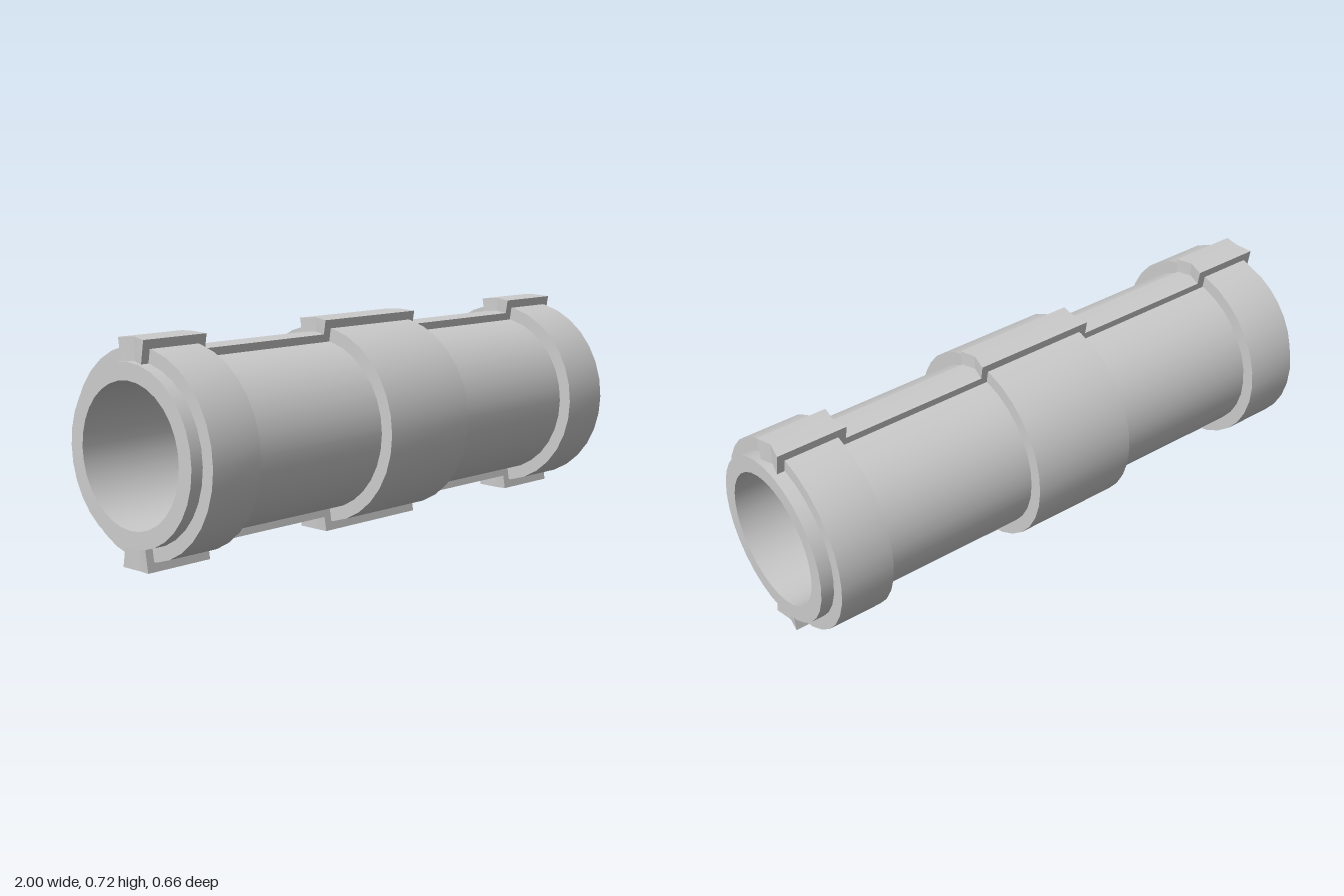
import * as THREE from 'three';
import { toCreasedNormals } from 'three/addons/utils/BufferGeometryUtils.js';

const CENTRE_Y = 0.36;
const material = new THREE.MeshStandardMaterial({ color: 0xcccccc });

// Hollow ring along x, from x0 to x1
function ring(name, inner, outer, x0, x1) {
  const profile = [[inner, x0], [outer, x0], [outer, x1], [inner, x1], [inner, x0]]
    .map(([r, x]) => new THREE.Vector2(r, x));
  const geometry = new THREE.LatheGeometry(profile, 32).rotateZ(-Math.PI / 2);
  const mesh = new THREE.Mesh(toCreasedNormals(geometry, 0.6), material);
  mesh.name = name;
  return mesh;
}

// Wedge-shaped rib: sections are [x, outer radius, x shift of the middle line]
function ribGeometry(sections, inner, halfAngle) {
  const positions = [], index = [];
  for (const [x, outer, shift] of sections) {
    for (const [r, side] of [[outer, -1], [outer, 0], [outer, 1], [inner, 1], [inner, 0], [inner, -1]]) {
      const a = side * halfAngle;
      positions.push(x + (side === 0 ? shift : 0), r * Math.cos(a), r * Math.sin(a));
    }
  }
  for (let s = 0; s < sections.length - 1; s++) {
    for (let i = 0; i < 6; i++) {
      const a = s * 6 + i, b = s * 6 + (i + 1) % 6;
      index.push(a, b, a + 6, b, b + 6, a + 6);
    }
  }
  // End caps
  const e = (sections.length - 1) * 6;
  for (const [a, b, c] of [[0, 1, 4], [0, 4, 5], [1, 2, 3], [1, 3, 4]]) {
    index.push(a, c, b, e + a, e + b, e + c);
  }
  const geometry = new THREE.BufferGeometry();
  geometry.setAttribute('position', new THREE.Float32BufferAttribute(positions, 3));
  geometry.setIndex(index);
  return toCreasedNormals(geometry, 0.35);
}

export function createModel() {
  const group = new THREE.Group();
  group.name = 'ribbedPipe';

  // Main tube and its three collars
  const body = new THREE.Group();
  body.name = 'body';
  body.position.y = CENTRE_Y;
  body.add(
    ring('tube', 0.23, 0.286, -1, 1),
    ring('rightCollar', 0.27, 0.331, -0.957, -0.768),
    ring('middleCollar', 0.27, 0.331, -0.193, 0.19),
    ring('leftCollar', 0.27, 0.331, 0.765, 0.955)
  );
  group.add(body);

  // Ribs above and below, raised where they cross a collar, with notched ends
  const high = 0.36, low = 0.312, notch = 0.014;
  const sections = [];
  for (const [x0, x1] of [[-0.985, -0.738], [-0.222, 0.215], [0.735, 0.982]]) {
    if (sections.length) sections.push([x0, low, notch]);
    sections.push([x0, high, notch], [x1, high, -notch]);
    if (x1 < 0.9) sections.push([x1, low, -notch]);
  }
  const geometry = ribGeometry(sections, 0.275, 0.167);
  ['topRib', 'bottomRib'].forEach((name, i) => {
    const rib = new THREE.Mesh(geometry, material);
    rib.name = name;
    rib.position.y = CENTRE_Y;
    rib.rotation.x = i * Math.PI;
    group.add(rib);
  });
  return group;
}
